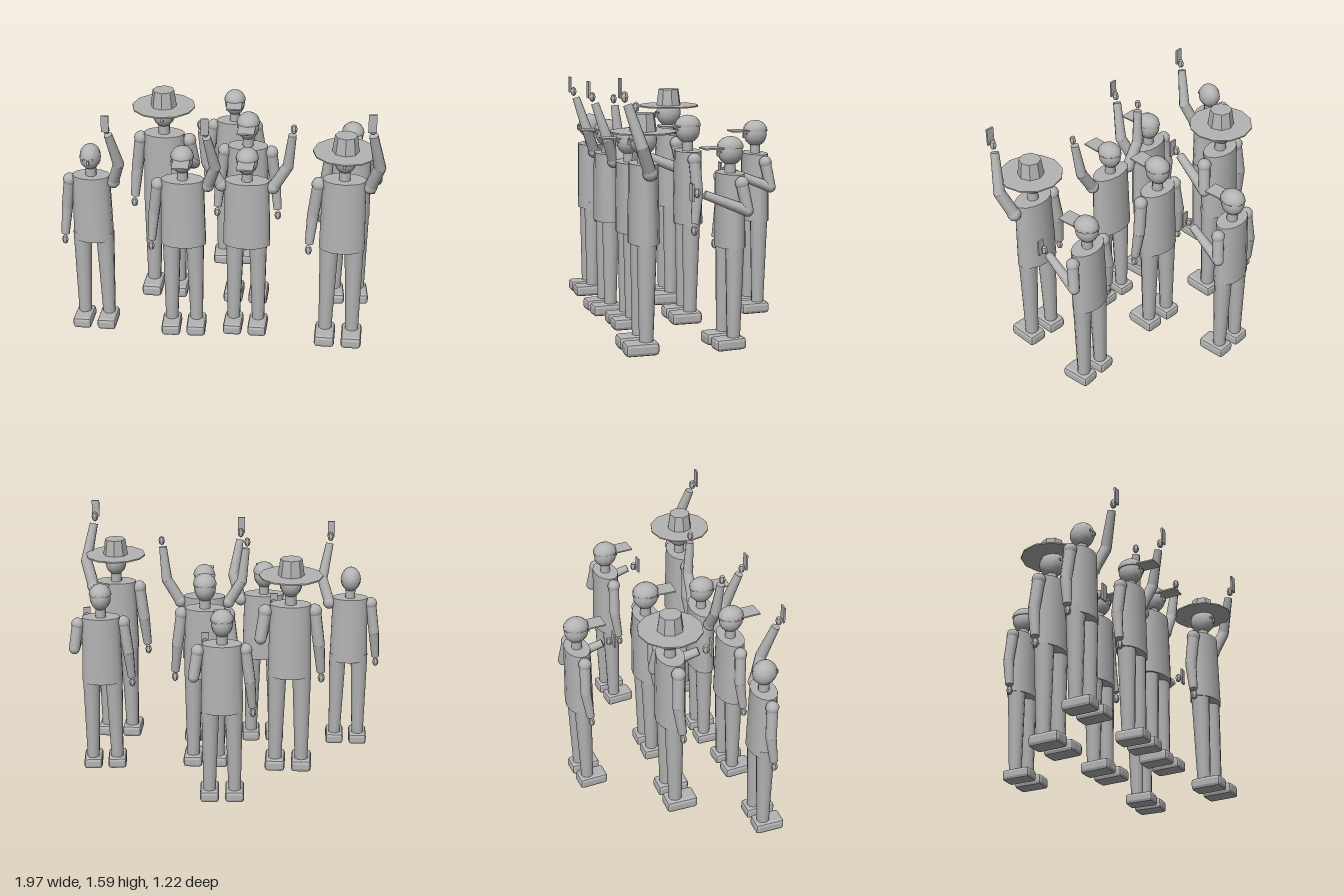
import * as THREE from 'three';
import { RoundedBoxGeometry } from 'three/addons/geometries/RoundedBoxGeometry.js';

const grey = new THREE.MeshStandardMaterial({ color: 0xb4b4b4 });
grey.name = 'plain grey';

const flat = (geometry) => {
  const g = geometry.index ? geometry.toNonIndexed() : geometry;
  g.computeVertexNormals();
  return g;
};

function add(parent, name, geometry, x = 0, y = 0, z = 0) {
  const mesh = new THREE.Mesh(geometry, grey);
  mesh.name = name;
  mesh.position.set(x, y, z);
  parent.add(mesh);
  return mesh;
}

// Tapered limb between two points
function limb(parent, name, a, b, ra, rb, sides = 10) {
  const dir = b.clone().sub(a);
  const mesh = add(parent, name, new THREE.CylinderGeometry(rb, ra, dir.length(), sides));
  mesh.position.copy(a).add(b).multiplyScalar(0.5);
  mesh.quaternion.setFromUnitVectors(new THREE.Vector3(0, 1, 0), dir.normalize());
}

// Joints for each arm pose: shoulder, elbow, wrist, hand, phone
const poses = {
  down: [[0.135, 0.985, 0], [0.162, 0.79, -0.01], [0.178, 0.615, 0.01], [0.181, 0.575, 0.015]],
  forward: [[0.14, 0.98, -0.01], [0.165, 0.825, -0.035], [0.11, 0.925, 0.21], [0.1, 0.935, 0.25], [0.1, 0.94, 0.282]],
  raised: [[0.135, 0.985, 0], [0.183, 1.13, 0.055], [0.14, 1.35, 0.12], [0.135, 1.39, 0.135], [0.132, 1.435, 0.158]],
  wide: [[0.135, 0.985, 0], [0.222, 1.13, 0], [0.247, 1.345, 0.02], [0.255, 1.385, 0.025]],
};

function arm(parent, side, pose, spread) {
  const group = new THREE.Group();
  group.name = side > 0 ? 'leftArm' : 'rightArm';
  parent.add(group);
  const [shoulder, elbow, wrist, hand, phone] = poses[pose].map(
    ([x, y, z]) => new THREE.Vector3(side * (x + spread), y, z));
  const at = (v) => [v.x, v.y, v.z];
  add(group, 'shoulder', new THREE.SphereGeometry(0.041, 10, 8), ...at(shoulder));
  limb(group, 'upperArm', shoulder, elbow, 0.036, 0.034);
  add(group, 'elbow', new THREE.SphereGeometry(0.034, 10, 8), ...at(elbow));
  limb(group, 'forearm', elbow, wrist, 0.034, 0.025);
  const fist = flat(new THREE.SphereGeometry(0.024, 6, 4).scale(0.85, 1.3, 0.85));
  add(group, 'hand', fist, ...at(hand));
  if (phone) add(group, 'phone', new THREE.BoxGeometry(0.045, 0.102, 0.011), ...at(phone));
}

function hat(parent) {
  add(parent, 'hatBrim', new THREE.CylinderGeometry(0.18, 0.18, 0.008, 12), 0, 1.191, 0);
  add(parent, 'hatCrown', flat(new THREE.CylinderGeometry(0.062, 0.075, 0.097, 8)), 0, 1.241, 0);
}

function cap(parent) {
  const dome = new THREE.SphereGeometry(0.08, 12, 5, 0, Math.PI * 2, 0, Math.PI / 2);
  add(parent, 'capDome', dome.scale(0.87, 0.8, 1), 0, 1.171, 0);
  const rim = new THREE.CylinderGeometry(0.08, 0.08, 0.008, 12);
  add(parent, 'capRim', rim.scale(0.87, 1, 1), 0, 1.171, 0);
  add(parent, 'capVisor', new THREE.BoxGeometry(0.1, 0.009, 0.115), 0, 1.171, 0.117);
}

function person({ x, z, scale = 1, yaw = 0, width = 0.13, wear, right = 'down', left = 'down' }) {
  const p = new THREE.Group();
  p.name = 'person';
  p.position.set(x, 0, z);
  p.rotation.y = yaw;
  p.scale.setScalar(scale);

  // Legs and chamfered shoes
  for (const s of [-1, 1]) {
    limb(p, s > 0 ? 'leftLeg' : 'rightLeg',
      new THREE.Vector3(s * 0.077, 0.05, 0.008), new THREE.Vector3(s * 0.07, 0.64, 0), 0.039, 0.057);
    add(p, s > 0 ? 'leftShoe' : 'rightShoe',
      flat(new RoundedBoxGeometry(0.116, 0.072, 0.186, 1, 0.02)), s * 0.077, 0.036, 0.038);
  }

  // Oval torso and neck
  const torso = new THREE.CylinderGeometry(0.92, 1, 0.43, 14);
  add(p, 'torso', torso.scale(width, 1, 0.083), 0, 0.81, 0);
  add(p, 'neck', new THREE.CylinderGeometry(0.032, 0.034, 0.11, 10), 0, 1.055, 0);

  // Head and simple face
  add(p, 'head', new THREE.SphereGeometry(0.08, 12, 10).scale(0.81, 1, 0.95), 0, 1.147, 0);
  for (const s of [-1, 1]) {
    add(p, 'eye', new THREE.BoxGeometry(0.014, 0.012, 0.008), s * 0.024, 1.15, 0.07);
  }
  add(p, 'nose', new THREE.BoxGeometry(0.014, 0.028, 0.016), 0, 1.137, 0.076);

  if (wear) wear(p);
  arm(p, -1, right, width - 0.126);
  arm(p, 1, left, width - 0.126);
  return p;
}

export function createModel() {
  const crowd = new THREE.Group();
  crowd.name = 'crowd';
  const people = [
    { x: -0.795, z: 0.375, width: 0.125, left: 'raised' },
    { x: -0.415, z: -0.07, scale: 1.095, width: 0.128, wear: hat, left: 'forward' },
    { x: -0.235, z: 0.39, scale: 1.01, yaw: 0.06, width: 0.14, wear: cap, left: 'raised' },
    { x: 0.15, z: 0.345, width: 0.147, wear: cap, right: 'wide', left: 'wide' },
    { x: 0.733, z: 0.41, scale: 1.07, width: 0.132, wear: hat, left: 'raised' },
    { x: -0.02, z: -0.532, yaw: 0.06, wear: cap, left: 'forward' },
    { x: 0.117, z: -0.04, scale: 1.05, wear: cap },
    { x: 0.763, z: -0.1, yaw: 0.1, wear: cap, left: 'forward' },
  ];
  for (const spec of people) crowd.add(person(spec));
  return crowd;
}
